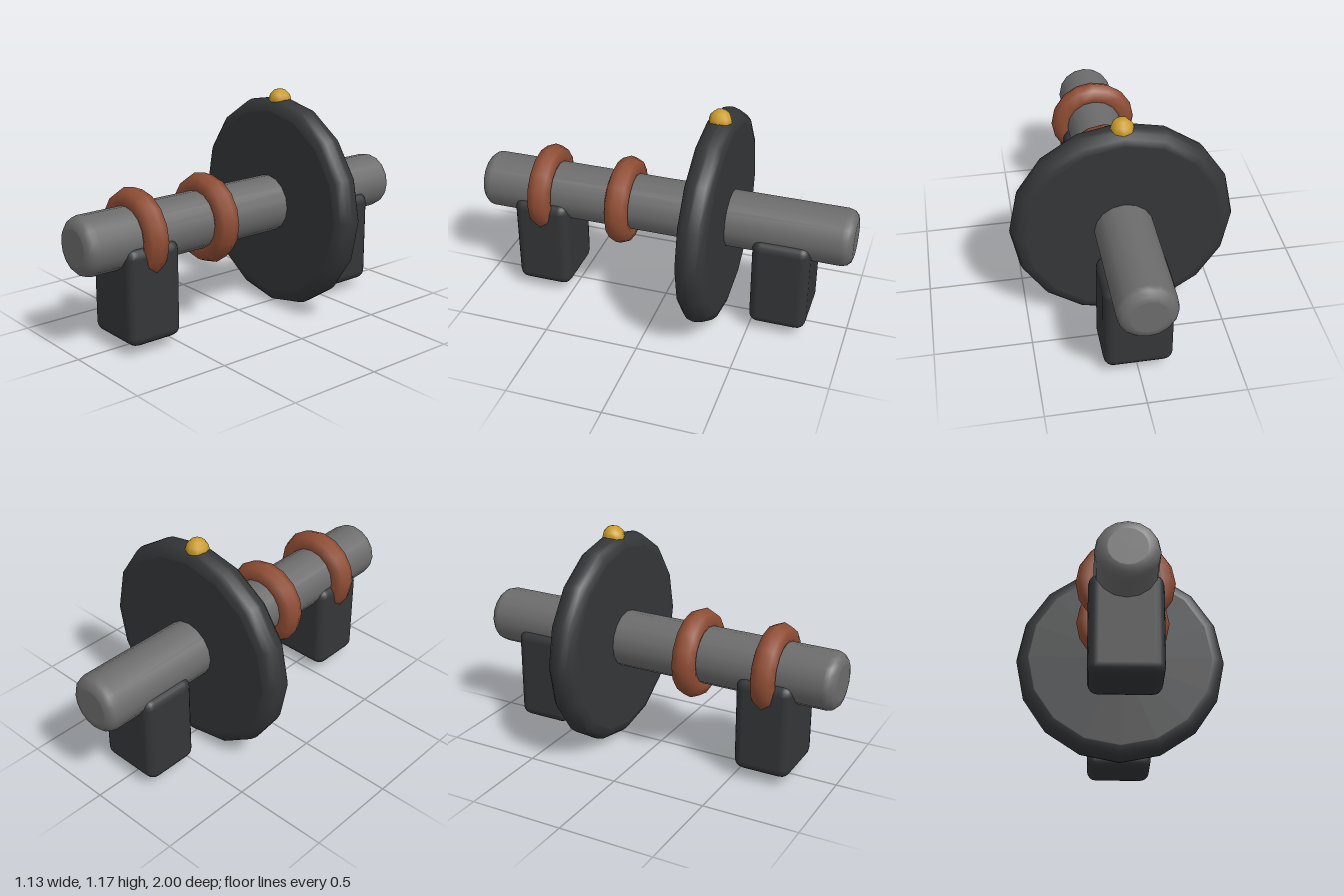
import * as THREE from 'three';
import { RoundedBoxGeometry } from 'three/addons/geometries/RoundedBoxGeometry.js';

const AXIS_Y = 0.567;
const SIDES = 16;

const paint = (color) => new THREE.MeshStandardMaterial({ color });

// Solid disc or rod along z with rounded rims
function roundedRod(radius, length, bevel) {
  const half = length / 2;
  const steps = 3;
  const rim = [new THREE.Vector2(0, half), new THREE.Vector2(radius - bevel - 0.005, half)];
  for (let i = 0; i <= steps; i++) {
    const a = (i / steps) * Math.PI / 2;
    rim.push(new THREE.Vector2(
      radius - bevel + bevel * Math.sin(a),
      half - bevel + bevel * Math.cos(a)
    ));
  }
  const mirrored = rim.map((p) => new THREE.Vector2(p.x, -p.y));
  const profile = [...mirrored, ...rim.reverse()];
  return new THREE.LatheGeometry(profile, SIDES).rotateX(Math.PI / 2);
}

export function createModel() {
  const model = new THREE.Group();
  model.name = 'shaftAssembly';

  const steel = paint(0x6c6c6c);
  const dark = paint(0x343638);
  const copper = paint(0x8f4d34);
  const gold = paint(0xcb9c2a);

  function add(name, geometry, material, y, z) {
    const mesh = new THREE.Mesh(geometry, material);
    mesh.name = name;
    mesh.position.set(0, y, z);
    model.add(mesh);
  }

  // Shaft and flywheel
  add('shaft', roundedRod(0.15, 2, 0.055), steel, AXIS_Y, 0);
  add('flywheel', roundedRod(0.565, 0.15, 0.065), dark, AXIS_Y, -0.28);

  // Bearing blocks under the shaft
  const block = new RoundedBoxGeometry(0.35, 0.5, 0.3, 2, 0.05);
  add('frontBearingBlock', block, dark, 0.3, 0.65);
  add('rearBearingBlock', block, dark, 0.3, -0.65);

  // Collars around the shaft
  const collar = new THREE.TorusGeometry(0.17, 0.065, 8, SIDES);
  add('frontCollar', collar, copper, AXIS_Y, 0.65);
  add('middleCollar', collar, copper, AXIS_Y, 0.22);

  // Marker bead on the flywheel rim
  add('rimMarker', new THREE.SphereGeometry(0.06, 8, 6), gold, 1.115, -0.28);

  return model;
}
